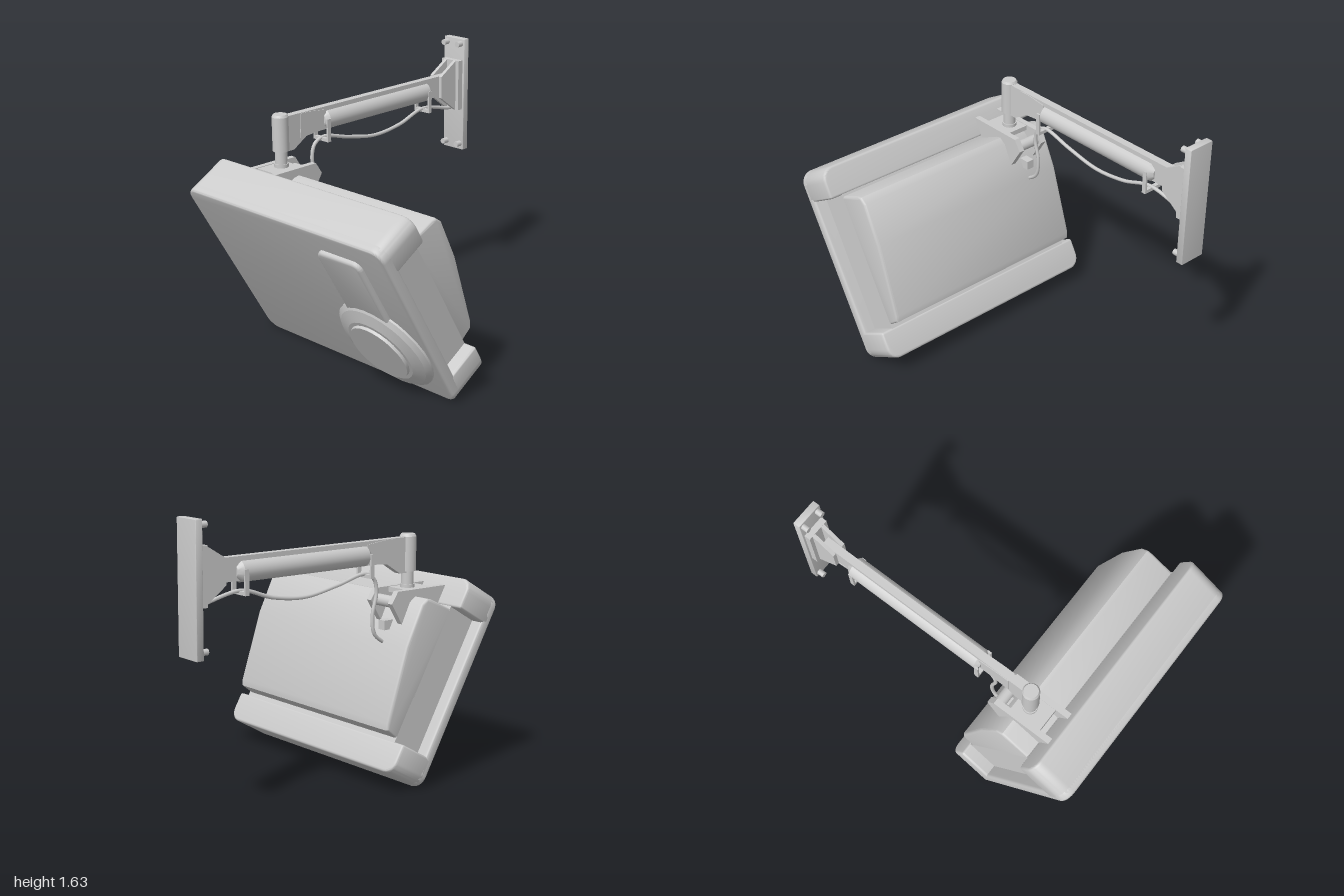
import * as THREE from 'three';
import { toCreasedNormals } from 'three/addons/utils/BufferGeometryUtils.js';

const material = new THREE.MeshStandardMaterial({ color: 0xcccccc });
const ARM_X = -0.475;

function add(parent, name, geometry, x = 0, y = 0, z = 0) {
  const mesh = new THREE.Mesh(geometry, material);
  mesh.name = name;
  mesh.position.set(x, y, z);
  parent.add(mesh);
  return mesh;
}

const box = (w, h, d) => new THREE.BoxGeometry(w, h, d);
const cylinder = (r, h, n = 24, r2 = r) => new THREE.CylinderGeometry(r2, r, h, n);

// Rectangle with separate radii for the upper and lower corners
function roundedRect(x0, x1, y0, y1, rTop, rBottom) {
  const s = new THREE.Shape();
  s.moveTo(x0 + rBottom, y0);
  s.lineTo(x1 - rBottom, y0);
  s.absarc(x1 - rBottom, y0 + rBottom, rBottom, -Math.PI / 2, 0);
  s.lineTo(x1, y1 - rTop);
  s.absarc(x1 - rTop, y1 - rTop, rTop, 0, Math.PI / 2);
  s.lineTo(x0 + rTop, y1);
  s.absarc(x0 + rTop, y1 - rTop, rTop, Math.PI / 2, Math.PI);
  s.lineTo(x0, y0 + rBottom);
  s.absarc(x0 + rBottom, y0 + rBottom, rBottom, Math.PI, Math.PI * 1.5);
  return s;
}

// Bevelled slab filling the shape between two depths
function slab(shape, z0, z1, bevel) {
  const g = new THREE.ExtrudeGeometry(shape, {
    depth: z1 - z0 - 2 * bevel, curveSegments: 6,
    bevelEnabled: bevel > 0, bevelSize: bevel, bevelThickness: bevel,
    bevelOffset: -bevel, bevelSegments: 3,
  });
  g.translate(0, 0, z0 + bevel);
  return toCreasedNormals(g, 0.6);
}

// Side profile given as [z, y] points, extruded across x and centred on x = 0
function sideProfile(points, width, bevel = 0) {
  const shape = new THREE.Shape(points.map(([z, y]) => new THREE.Vector2(z, y)));
  const g = slab(shape, -width / 2, width / 2, bevel);
  g.rotateY(-Math.PI / 2);
  return g;
}

// Tilted case: local z = 0 is its front face
function buildCase() {
  const g = new THREE.Group();
  g.name = 'tiltedCase';
  g.position.set(0, 0.523, 0.70);
  g.rotation.x = Math.PI / 6;

  // Front slab with upper and lower bars that leave the sides notched
  add(g, 'frontSlab', slab(roundedRect(-0.763, 0.763, -0.6, 0.6, 0.075, 0.075), -0.064, 0, 0.014));
  add(g, 'upperBar', slab(roundedRect(-0.763, 0.763, 0.42, 0.6, 0.075, 0.016), -0.275, -0.02, 0.014));
  add(g, 'lowerBar', slab(roundedRect(-0.763, 0.763, -0.6, -0.42, 0.016, 0.075), -0.275, -0.02, 0.014));
  add(g, 'core', box(1.37, 0.86, 0.24), 0, 0, -0.15);

  // Wedge-shaped rear housing
  add(g, 'rearHousing', sideProfile([
    [-0.25, 0.41], [-0.43, 0.395], [-0.46, 0.385], [-0.482, 0.34],
    [-0.465, 0.087], [-0.374, -0.35], [-0.355, -0.385], [-0.25, -0.4],
  ], 1.37, 0.015));

  // Raised front strip and the round dial at its lower end
  add(g, 'frontStrip', slab(roundedRect(0.24, 0.56, -0.24, 0.465, 0.05, 0.02), -0.02, 0.025, 0.018));
  const profile = [[0.32, -0.01], [0.32, 0.012], [0.29, 0.034], [0.22, 0.058],
    [0.198, 0.058], [0.195, 0.075], [0, 0.075]].map(([r, h]) => new THREE.Vector2(r, h));
  const dial = new THREE.LatheGeometry(profile, 28);
  dial.rotateX(Math.PI / 2);
  add(g, 'dial', toCreasedNormals(dial, 0.3), 0.4, -0.245, 0);
  return g;
}

// Bracket joining the case to the swivel
function buildBracket() {
  const g = new THREE.Group();
  g.name = 'caseBracket';
  g.position.x = ARM_X;
  const cheek = sideProfile([
    [0.74, 1.128], [0.36, 1.128], [0.315, 1.06], [0.41, 0.91], [0.52, 0.9], [0.70, 0.99],
  ], 0.036);
  for (const side of [-1, 1]) add(g, 'bracketCheek', cheek, side * 0.088);
  add(g, 'bracketBridge', box(0.15, 0.03, 0.2), 0, 1.11, 0.55);
  const rod = cylinder(0.034, 0.15, 16);
  rod.rotateZ(Math.PI / 2);
  add(g, 'tiltRod', rod, 0, 1.06, 0.372);
  add(g, 'cableSocket', box(0.05, 0.055, 0.1), 0, 0.925, 0.385);
  add(g, 'swivelPin', cylinder(0.036, 0.12), 0, 1.17, 0.53);
  add(g, 'swivelCollar', cylinder(0.042, 0.02), 0, 1.135, 0.53);
  add(g, 'swivelSleeve', cylinder(0.048, 0.2), 0, 1.32, 0.53);
  add(g, 'swivelCap', cylinder(0.048, 0.014, 24, 0.04), 0, 1.427, 0.53);
  return g;
}

function buildArm() {
  const g = new THREE.Group();
  g.name = 'arm';
  g.position.x = ARM_X;
  add(g, 'armBeam', sideProfile([
    [0.5, 1.418], [-0.88, 1.418], [-0.88, 1.29], [0.34, 1.28], [0.45, 1.212], [0.5, 1.212],
  ], 0.046));
  add(g, 'beamFrontCheek', sideProfile([
    [0.4, 1.415], [0.335, 1.415], [0.2, 1.40], [0.2, 1.29], [0.4, 1.27],
  ], 0.056));

  // Long cylinder with tapered ends
  const tube = new THREE.LatheGeometry([[0, -0.705], [0.035, -0.705], [0.06, -0.675], [0.06, 0.19],
    [0.04, 0.215], [0, 0.215]].map(([r, h]) => new THREE.Vector2(r, h)), 24);
  tube.rotateX(Math.PI / 2);
  add(g, 'armCylinder', toCreasedNormals(tube, 0.5), 0, 1.337, 0);

  // Cable clips
  for (const z of [0.207, -0.665]) {
    for (const side of [-1, 1]) add(g, 'clipSide', box(0.012, 0.12, 0.026), side * 0.056, 1.29, z);
    add(g, 'clipBase', box(0.124, 0.02, 0.026), 0, 1.222, z);
  }

  // Hanging cable
  const path = [[-0.96, 1.185], [-0.9, 1.188], [-0.66, 1.232], [-0.45, 1.172], [-0.23, 1.15], [0, 1.188],
    [0.2, 1.232], [0.27, 1.2], [0.292, 1.12], [0.265, 0.99], [0.28, 0.88], [0.37, 0.81]];
  const curve = new THREE.CatmullRomCurve3(path.map(([z, y]) => new THREE.Vector3(0, y, z)));
  add(g, 'cable', new THREE.TubeGeometry(curve, 80, 0.011, 8));
  return g;
}

function buildWallMount() {
  const g = new THREE.Group();
  g.name = 'wallMount';
  g.position.x = ARM_X;
  add(g, 'wallPlate', slab(roundedRect(-0.083, 0.083, 0.91, 1.637, 0.006, 0.006), -1, -0.957, 0.003));
  add(g, 'hingeBase', box(0.14, 0.32, 0.038), 0, 1.34, -0.938);
  const cheek = sideProfile([
    [-0.785, 1.418], [-0.92, 1.5], [-0.95, 1.5], [-0.95, 1.18], [-0.92, 1.18], [-0.785, 1.28],
  ], 0.022);
  for (const side of [-1, 1]) {
    add(g, 'hingeCheek', cheek, side * 0.036);
    for (const y of [0.95, 1.605]) {
      const bolt = cylinder(0.018, 0.045, 12);
      bolt.rotateX(Math.PI / 2);
      add(g, 'wallBolt', bolt, side * 0.056, y, -0.94);
    }
  }
  return g;
}

export function createModel() {
  const model = new THREE.Group();
  model.name = 'wallMountedUnit';
  model.add(buildCase(), buildBracket(), buildArm(), buildWallMount());
  return model;
}
